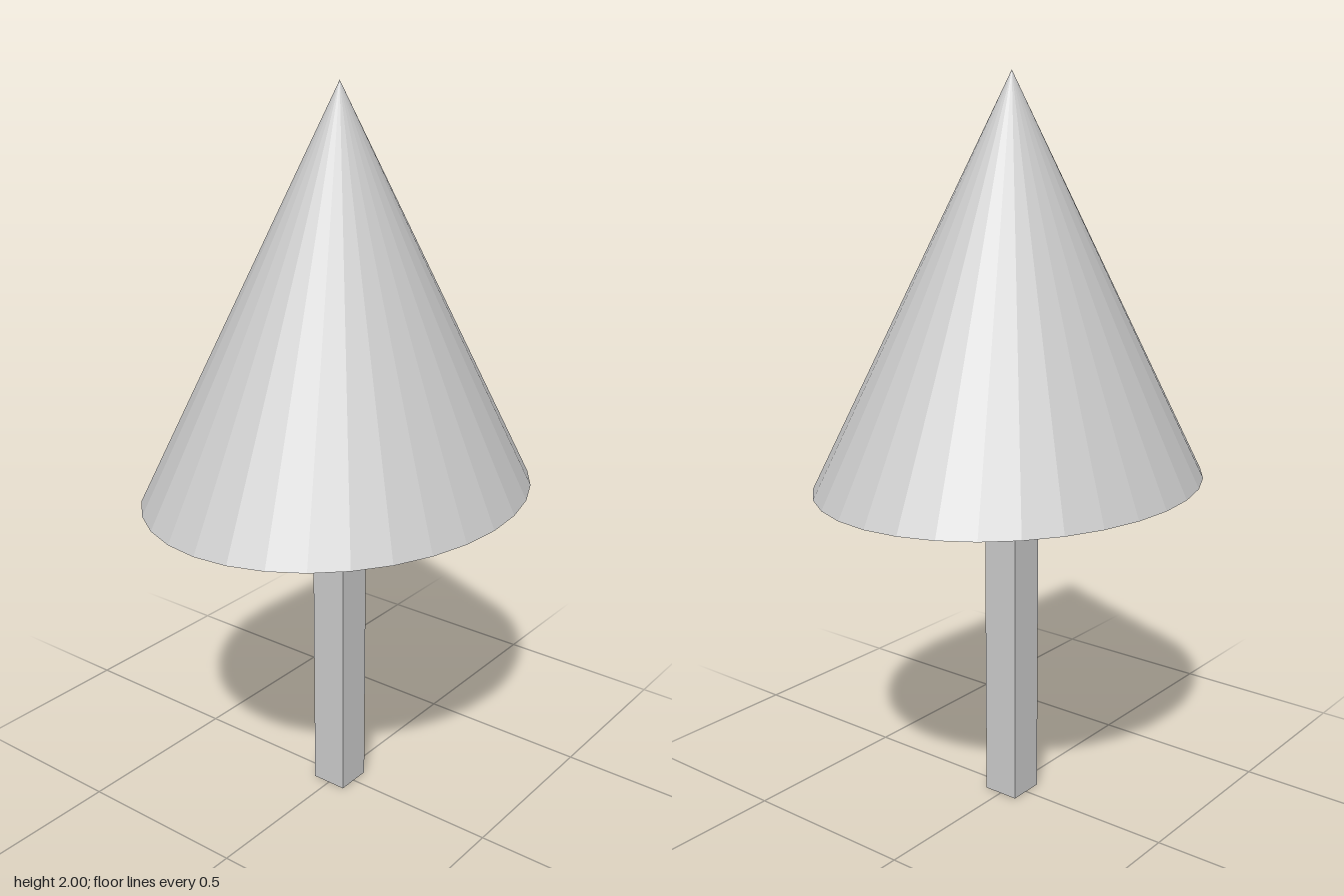
import * as THREE from 'three';

const BASE_Y = 0.928; // underside of the foliage
const TOP_Y = 2;

export function createModel() {
  const model = new THREE.Group();
  model.name = 'tree';
  const material = new THREE.MeshStandardMaterial({ color: 0xcccccc, flatShading: true });

  const add = (name, geometry, y) => {
    const mesh = new THREE.Mesh(geometry, material);
    mesh.name = name;
    mesh.position.y = y;
    model.add(mesh);
  };

  // Square trunk from the ground to the foliage
  add('trunk', new THREE.BoxGeometry(0.104, BASE_Y, 0.104), BASE_Y / 2);

  // Faceted cone with an oval footprint, wider in x than in z
  const foliage = new THREE.ConeGeometry(1, TOP_Y - BASE_Y, 32);
  foliage.scale(0.578, 1, 0.494);
  add('foliage', foliage, (BASE_Y + TOP_Y) / 2);

  return model;
}
